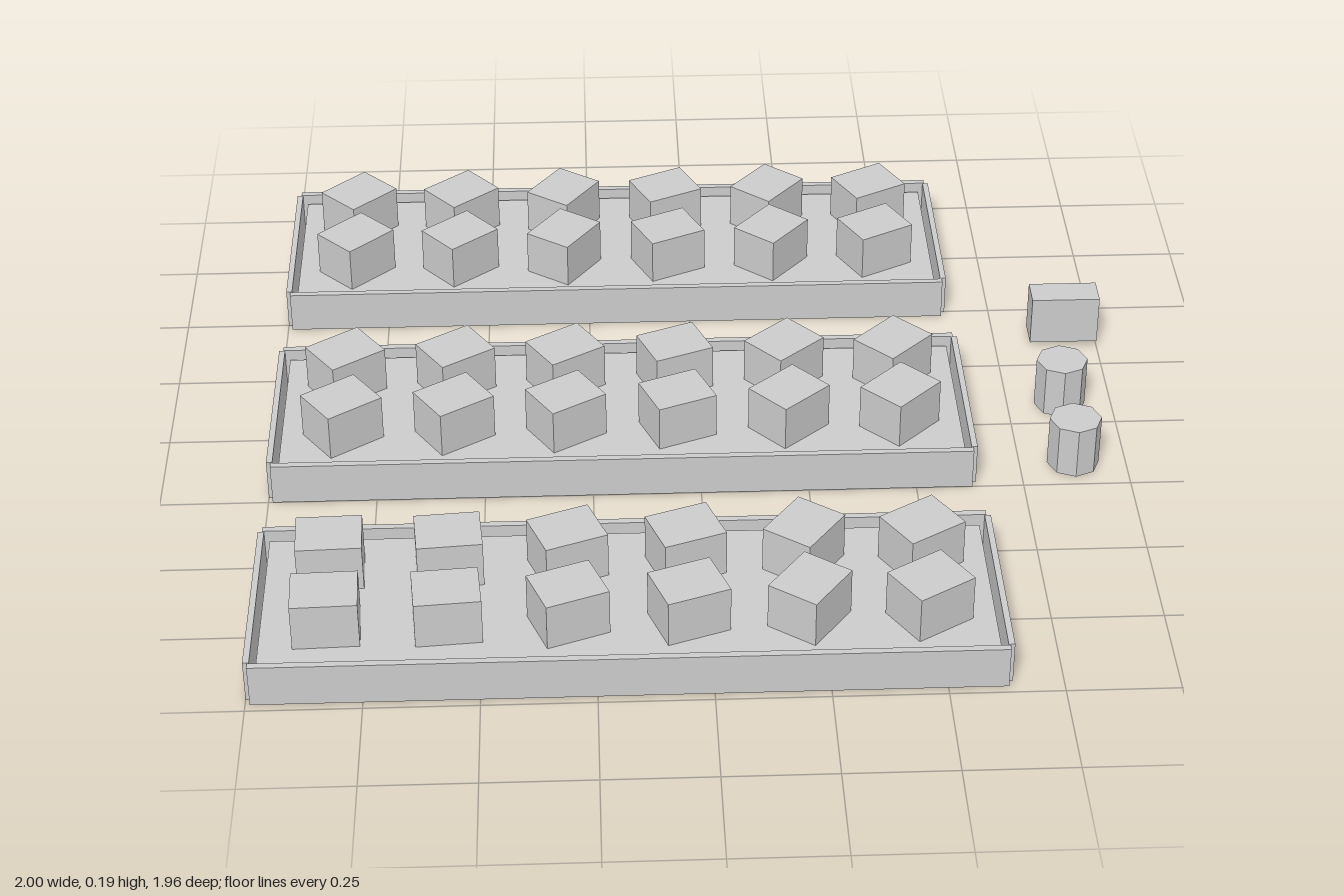
import * as THREE from 'three';

const grey = new THREE.MeshStandardMaterial({ color: 0xcccccc, flatShading: true });
grey.name = 'pale grey';

function add(parent, name, geometry, x, y, z, turn = 0) {
  const mesh = new THREE.Mesh(geometry, grey);
  mesh.name = name;
  mesh.position.set(x, y, z);
  mesh.rotation.y = THREE.MathUtils.degToRad(turn);
  parent.add(mesh);
}

// One raised bed: four boards, a soil slab with a slim gap, two rows of blocks
function createBed(turns) {
  const bed = new THREE.Group();
  bed.name = 'raisedBed';
  const longBoard = new THREE.BoxGeometry(1.62, 0.1, 0.016);
  const endBoard = new THREE.BoxGeometry(0.014, 0.1, 0.464);
  for (const s of [-1, 1]) {
    add(bed, 'longBoard', longBoard, 0, 0.05, s * 0.242);
    add(bed, 'endBoard', endBoard, s * 0.813, 0.05, 0);
  }
  add(bed, 'soil', new THREE.BoxGeometry(1.588, 0.08, 0.445), 0, 0.04, 0);

  // Paired blocks share the same turn in each column
  const block = new THREE.BoxGeometry(0.145, 0.122, 0.122);
  turns.forEach((turn, i) => {
    for (const s of [-1, 1]) {
      add(bed, 'plantBlock', block, (i - 2.5) * 0.26, 0.129, s * 0.101, turn);
    }
  });
  return bed;
}

export function createModel() {
  const model = new THREE.Group();
  model.name = 'gardenBeds';

  // Block turns in degrees, back bed to front bed
  const bedTurns = [
    [44, 40, 55, 25, 50, 28],
    [35, 33, 32, 22, 42, 45],
    [2, 4.5, 21, 20, 54, 32],
  ];
  bedTurns.forEach((turns, i) => {
    const bed = createBed(turns);
    bed.position.set(-0.18, 0, (i - 1) * 0.73);
    model.add(bed);
  });

  // Loose pots and crate beside the beds
  const pot = new THREE.CylinderGeometry(0.061, 0.061, 0.125, 8);
  for (const z of [-0.085, 0.16]) add(model, 'pot', pot, 0.876, 0.0625, z);
  add(model, 'crate', new THREE.BoxGeometry(0.165, 0.122, 0.076), 0.9175, 0.075, -0.368);

  return model;
}
